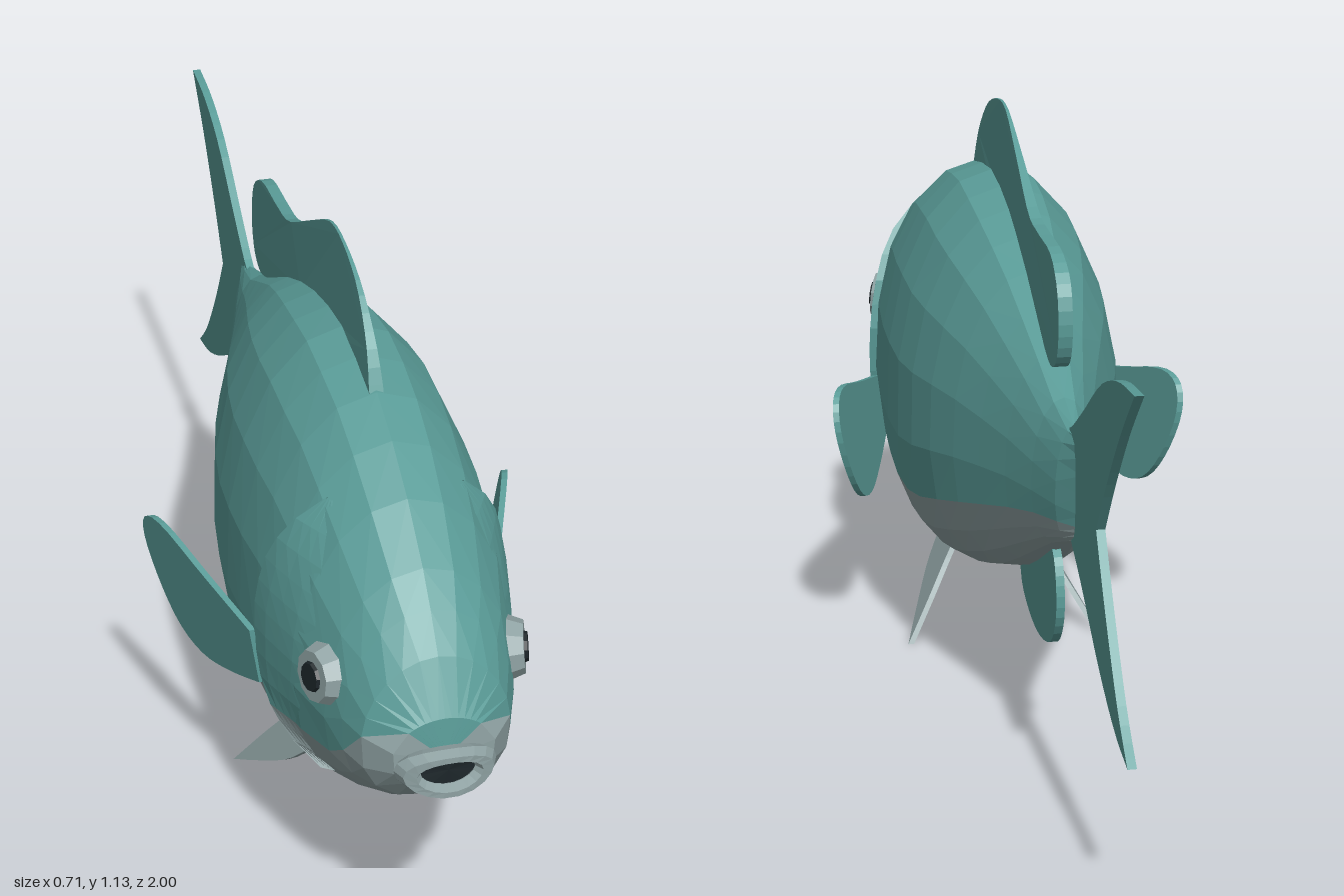
import * as THREE from 'three';

const flat = (name, color) => {
  const m = new THREE.MeshStandardMaterial({ color, flatShading: true, side: THREE.DoubleSide });
  m.name = name;
  return m;
};
const lerp = THREE.MathUtils.lerp;

// body stations, nose to tail: z, top, bottom, half width, height of the belly colour line
const STATIONS = [
  [0.958, 0.51, 0.5, 0, 0.505], [0.95, 0.58, 0.45, 0.09, 0.56], [0.9, 0.67, 0.39, 0.13, 0.53],
  [0.85, 0.73, 0.355, 0.15, 0.47], [0.8, 0.78, 0.325, 0.168, 0.435], [0.7, 0.855, 0.275, 0.195, 0.415],
  [0.6, 0.91, 0.235, 0.212, 0.4], [0.5, 0.95, 0.205, 0.22, 0.38], [0.4, 0.97, 0.19, 0.225, 0.36],
  [0.3, 0.98, 0.18, 0.226, 0.35], [0.2, 0.97, 0.19, 0.22, 0.35], [0.1, 0.95, 0.215, 0.207, 0.37],
  [0, 0.92, 0.25, 0.185, 0.4], [-0.1, 0.88, 0.29, 0.155, 0.43], [-0.2, 0.83, 0.34, 0.122, 0.46],
  [-0.3, 0.78, 0.395, 0.09, 0.49], [-0.4, 0.73, 0.45, 0.06, 0.515], [-0.49, 0.705, 0.488, 0.034, 0.53],
  [-0.56, 0.7, 0.52, 0, 0.54],
];

function station(z) {
  let i = 0;
  while (i < STATIONS.length - 2 && STATIONS[i + 1][0] > z) i++;
  const a = STATIONS[i], b = STATIONS[i + 1], t = (z - a[0]) / (b[0] - a[0]);
  const [, top, bot, w, line] = a.map((v, k) => lerp(v, b[k], t));
  return { top, bot, w, line, c: lerp(bot, top, 0.44) };
}

// half width of the body at a point of its side
function widthAt(z, y) {
  const { top, bot, w, c } = station(z);
  const t = Math.min(1, y > c ? (y - c) / (top - c) : (c - y) / (c - bot));
  return y > c ? w * Math.sqrt(1 - t * t) : w * (1 - t ** 2.5) ** 0.4;
}

// point of a cross-section: round above the widest line, fuller below it
function sectionPoint(z, angle, side) {
  const { top, bot, w, c } = station(z), s = Math.sin(angle), k = Math.max(0, Math.cos(angle));
  return s > 0
    ? [side * w * k, c + (top - c) * s, z]
    : [side * w * k ** 0.8, c - (c - bot) * (-s) ** 0.8, z];
}

function lineAngle(z) {
  const { top, bot, line, c } = station(z);
  return line > c ? Math.asin((line - c) / (top - c)) : -Math.asin(((c - line) / (c - bot)) ** 1.25);
}

// surface through rows of points
function grid(rows, flip) {
  const n = rows[0].length, index = [];
  for (let i = 0; i < rows.length - 1; i++) {
    for (let k = 0; k < n - 1; k++) {
      const a = i * n + k, b = a + 1, d = a + n, c = d + 1;
      index.push(...(flip ? [a, d, b, b, d, c] : [a, b, d, b, c, d]));
    }
  }
  const g = new THREE.BufferGeometry();
  g.setAttribute('position', new THREE.Float32BufferAttribute(rows.flat(2), 3));
  g.setIndex(index);
  g.computeVertexNormals();
  return g;
}

// move every vertex by a rule
function warp(g, rule) {
  const p = g.attributes.position;
  for (let i = 0; i < p.count; i++) p.setXYZ(i, ...rule(p.getX(i), p.getY(i), p.getZ(i)));
  g.computeVertexNormals();
  return g;
}

// thin fin from curves given as [z, y] points; offset(z, y) leans it sideways
function finGeometry(curves, thick, offset = () => 0, taper = () => 1) {
  const outline = curves.flatMap((c) =>
    new THREE.SplineCurve(c.map((p) => new THREE.Vector2(...p))).getPoints(c.length > 2 ? c.length * 3 : 1).slice(0, -1));
  const g = new THREE.ExtrudeGeometry(new THREE.Shape(outline), { depth: thick, bevelEnabled: false });
  g.translate(0, 0, -thick / 2).rotateY(-Math.PI / 2);
  return warp(g, (x, y, z) => [x * taper(y) + offset(z, y), y, z]);
}

// rear edge of the gill cover as z for a height y
const GILL = [[0.34, 0.72], [0.37, 0.63], [0.42, 0.57], [0.5, 0.55], [0.6, 0.54], [0.7, 0.56], [0.83, 0.625]];
function gillEdge(y) {
  let i = 0;
  while (i < GILL.length - 2 && GILL[i + 1][0] < y) i++;
  const [a, b] = [GILL[i], GILL[i + 1]];
  return lerp(a[1], b[1], (y - a[0]) / (b[0] - a[0]));
}

// raised gill cover between two heights; "line" is the end following the belly colour line
function gillCover(from, to, steps, side) {
  const rows = [];
  for (let u = 0; u <= 5; u++) {
    const row = [];
    for (let k = 0; k <= steps; k++) {
      const s = k / steps, y0 = lerp(from, to, s), edge = gillEdge(y0);
      const length = 0.2 * Math.max(0.06, 1 - ((y0 - 0.58) / 0.25) ** 2);
      const z = edge + length * (1 - Math.min(u, 4) / 4), line = station(z).line;
      const y = from > 0.5 ? lerp(from, line, s) : lerp(line, to, s);
      const lift = 0.015 * Math.min(1, (0.86 - y) / 0.1) * Math.min(1, u / 4) - 0.002;
      row.push([side * (widthAt(z, y) + (u === 5 ? -0.02 : lift)), y, z]);
    }
    rows.push(row);
  }
  return grid(rows, side < 0);
}

export function createModel() {
  const teal = flat('teal scales', 0x5a9c98);
  const grey = flat('pale grey belly', 0x8fa2a3);
  const dark = flat('dark pupil', 0x1c2529);
  const model = new THREE.Group();
  model.name = 'fish';
  const add = (name, geometry, material) => {
    const mesh = new THREE.Mesh(geometry, material);
    mesh.name = name;
    model.add(mesh);
    return mesh;
  };

  for (const side of [1, -1]) {
    const label = side > 0 ? 'left' : 'right';
    // body halves, split along the belly line
    const half = (start, end, n) => grid(STATIONS.map(([z]) => Array.from({ length: n + 1 }, (_, k) =>
      sectionPoint(z, lerp(start(z), end(z), k / n), side))), side < 0);
    add(label + 'Back', half(() => Math.PI / 2, lineAngle, 6), teal);
    add(label + 'Belly', half(lineAngle, () => -Math.PI / 2, 4), grey);

    // gill cover
    add(label + 'GillCover', gillCover(0.83, 0.4, 9, side), teal);
    add(label + 'LowerGillCover', gillCover(0.4, 0.34, 3, side), grey);

    // eye
    const eye = new THREE.Group();
    eye.name = label + 'Eye';
    const disc = (name, r1, r2, h, y, m) => {
      const mesh = new THREE.Mesh(new THREE.CylinderGeometry(r1, r2, h, 10).translate(0, y, 0), m);
      mesh.name = name;
      eye.add(mesh);
    };
    disc('iris', 0.046, 0.06, 0.036, 0, grey);
    disc('pupil', 0.025, 0.028, 0.008, 0.02, dark);
    eye.position.set(side * (widthAt(0.785, 0.585) + 0.002), 0.585, 0.785);
    eye.quaternion.setFromUnitVectors(new THREE.Vector3(0, 1, 0), new THREE.Vector3(side * 0.94, 0.1, 0.3).normalize());
    model.add(eye);

    // pectoral fin
    add(label + 'PectoralFin', finGeometry([
      [[0.5, 0.495], [0.36, 0.53], [0.23, 0.565], [0.165, 0.55], [0.147, 0.49], [0.175, 0.4], [0.225, 0.335],
        [0.3, 0.315], [0.4, 0.34], [0.5, 0.38]], [[0.5, 0.38], [0.5, 0.495]],
    ], 0.012, (z, y) => side * (0.212 + (0.5 - z) * 0.34 + (y - 0.42) * 0.15)), teal);

    // pelvic fin
    add(label + 'PelvicFin', finGeometry([
      [[0.47, 0.22], [0.4, 0.125], [0.31, 0.06], [0.218, 0.003]],
      [[0.218, 0.003], [0.26, 0.085], [0.3, 0.155], [0.33, 0.22]], [[0.33, 0.22], [0.47, 0.22]],
    ], 0.012, (z, y) => side * (0.077 + (0.2 - y) * 0.6)), grey);
  }

  // dorsal fin
  add('dorsalFin', finGeometry([
    [[0.5, 0.94], [0.46, 1.02], [0.38, 1.09], [0.28, 1.123], [0.18, 1.123], [0.05, 1.065], [-0.1, 0.992],
      [-0.2, 0.98], [-0.32, 0.975], [-0.39, 0.935], [-0.41, 0.86], [-0.39, 0.795], [-0.34, 0.77], [-0.28, 0.785]],
    [[-0.28, 0.785], [-0.2, 0.81]], [[-0.2, 0.81], [0, 0.9]], [[0, 0.9], [0.3, 0.95]], [[0.3, 0.95], [0.5, 0.94]],
  ], 0.026, undefined, (y) => THREE.MathUtils.clamp(1 - (y - 0.95) * 4.5, 0.2, 1)), teal);

  // anal fin
  add('analFin', finGeometry([
    [[0, 0.27], [-0.03, 0.22], [-0.12, 0.192], [-0.22, 0.192], [-0.32, 0.225], [-0.37, 0.29], [-0.37, 0.36],
      [-0.34, 0.41], [-0.28, 0.42]], [[-0.28, 0.42], [0, 0.27]],
  ], 0.016), teal);

  // forked tail fin
  add('tailFin', finGeometry([
    [[-0.46, 0.7], [-0.5, 0.708], [-0.6, 0.77], [-0.75, 0.868], [-0.88, 0.915], [-1, 0.93]],
    [[-1, 0.93], [-0.9, 0.83], [-0.8, 0.71], [-0.72, 0.6]],
    [[-0.72, 0.6], [-0.8, 0.48], [-0.9, 0.355], [-0.985, 0.28]],
    [[-0.985, 0.28], [-0.88, 0.302], [-0.75, 0.36], [-0.6, 0.45], [-0.5, 0.5], [-0.46, 0.51]],
    [[-0.46, 0.51], [-0.46, 0.7]],
  ], 0.016), teal);

  // lips and mouth opening, bent around the snout
  const bend = (y0, z0) => (x, y, z) => [x, y0 + y * 0.52, z0 + z - 3 * x * x];
  add('lips', warp(new THREE.TorusGeometry(0.068, 0.021, 6, 18), bend(0.493, 0.979)), grey);
  add('mouthOpening', warp(new THREE.CircleGeometry(0.066, 18), bend(0.495, 0.977)), dark);

  return model;
}
